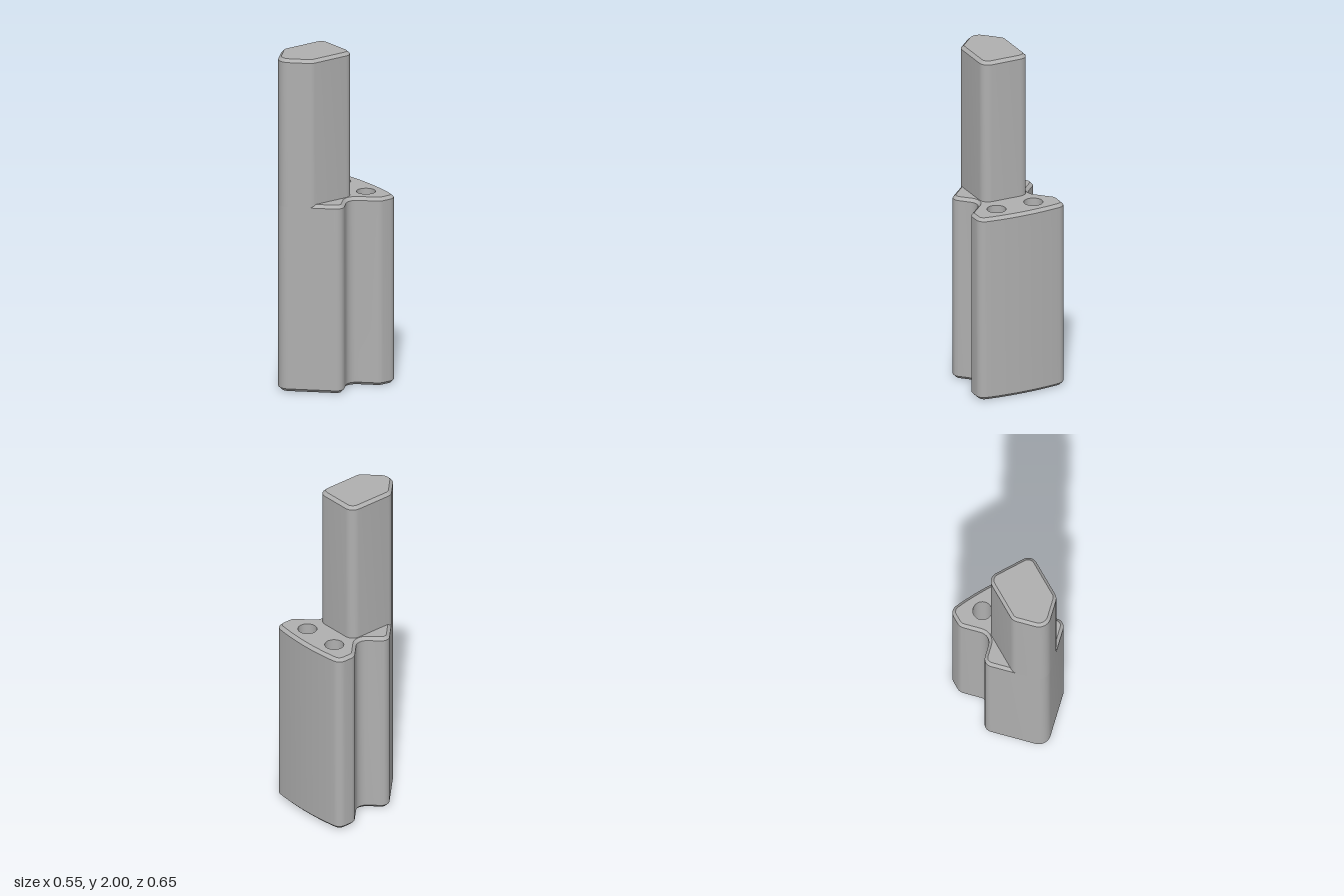
import * as THREE from 'three';
import { toCreasedNormals } from 'three/addons/utils/BufferGeometryUtils.js';

const CHAMFER = 0.018, SHOULDER = 1.13, HEIGHT = 2;
const HOLE_R = 0.055, HOLES = [[-0.118, -0.203], [0.118, -0.203]];
const STEPS = 8;

// Corners [x, z, radius] become a polygon with true arcs at the corners
function roundOutline(corners) {
  const out = [], n = corners.length;
  corners.forEach(([x, z, r], i) => {
    const p = new THREE.Vector2(x, z);
    if (!r) return out.push(p);
    const toward = (c) => new THREE.Vector2(c[0], c[1]).sub(p).normalize();
    const a = toward(corners[(i + n - 1) % n]), b = toward(corners[(i + 1) % n]);
    const half = Math.acos(THREE.MathUtils.clamp(a.dot(b), -1, 1)) / 2;
    const center = a.clone().add(b).normalize().multiplyScalar(r / Math.sin(half)).add(p);
    const start = a.multiplyScalar(r / Math.tan(half)).add(p).sub(center);
    const end = b.multiplyScalar(r / Math.tan(half)).add(p).sub(center);
    const sweep = Math.atan2(start.cross(end), start.dot(end));
    for (let k = 0; k <= STEPS; k++) {
      out.push(start.clone().rotateAround(new THREE.Vector2(), sweep * k / STEPS).add(center));
    }
  });
  return out;
}

// Move the outline inward by d, keeping edges parallel
function inset(pts, d) {
  const n = pts.length;
  const normal = (p, q) => new THREE.Vector2(q.y - p.y, p.x - q.x).normalize();
  return pts.map((p, i) => {
    const a = normal(pts[(i + n - 1) % n], p), b = normal(p, pts[(i + 1) % n]);
    const m = a.clone().add(b);
    return p.clone().addScaledVector(m, -d / (1 + a.dot(b)));
  });
}

// Side surface through stacked rings [outline, y]
function wallGeometry(rings) {
  const pos = [];
  for (let k = 0; k + 1 < rings.length; k++) {
    const [lo, y0] = rings[k], [hi, y1] = rings[k + 1];
    lo.forEach((p, i) => {
      const j = (i + 1) % lo.length;
      const a = [p.x, y0, p.y], b = [hi[i].x, y1, hi[i].y];
      const c = [hi[j].x, y1, hi[j].y], d = [lo[j].x, y0, lo[j].y];
      pos.push(...a, ...b, ...c, ...a, ...c, ...d);
    });
  }
  const g = new THREE.BufferGeometry();
  g.setAttribute('position', new THREE.Float32BufferAttribute(pos, 3));
  return toCreasedNormals(g, 0.45);
}

// Flat cap, optionally pierced by the holes
function capGeometry(pts, y, up, holes = []) {
  const s = up ? -1 : 1;
  const shape = new THREE.Shape(pts.map((p) => new THREE.Vector2(p.x, s * p.y)));
  for (const [x, z] of holes) {
    shape.holes.push(new THREE.Path().absarc(x, s * z, HOLE_R, 0, Math.PI * 2));
  }
  return new THREE.ShapeGeometry(shape, 24).rotateX(s * Math.PI / 2).translate(0, y, 0);
}

export function createModel() {
  const model = new THREE.Group();
  const steel = new THREE.MeshStandardMaterial({ color: 0xb0b0b0, side: THREE.DoubleSide });
  steel.name = 'grey steel';
  const add = (name, geometry) => {
    const mesh = new THREE.Mesh(geometry, steel);
    mesh.name = name;
    model.add(mesh);
    return mesh;
  };
  const mirror = (half) => half.map(([x, z, r]) => [-x, z, r]).reverse();

  // Body outline: bowed back, waist notches, pointed front
  const back = [];
  for (let i = -8; i <= 8; i++) {
    const x = i * 0.026;
    back.push([x, -0.324 + x * x / 3.3, 0]);
  }
  const side = [
    [0.277, -0.301, 0.05], [0.277, -0.187, 0.055],
    [0.142, -0.052, 0.063], [0.272, 0.078, 0.048],
  ];
  const nose = [0, 0.35, 0.07];
  const body = roundOutline([...back, ...side, nose, ...mirror(side)]);
  const bodyIn = inset(body, CHAMFER);
  add('bodyWall', wallGeometry([
    [bodyIn, 0], [body, CHAMFER], [body, SHOULDER - CHAMFER], [bodyIn, SHOULDER],
  ]));
  add('bodyTop', capGeometry(bodyIn, SHOULDER, true, HOLES));
  add('bodyBottom', capGeometry(bodyIn, 0, false, HOLES));

  // Through holes
  for (const [x, z] of HOLES) {
    const bore = add('boltHole', new THREE.CylinderGeometry(HOLE_R, HOLE_R, SHOULDER, 48, 1, true));
    bore.position.set(x, SHOULDER / 2, z);
  }

  // Post rising flush with the pointed front
  const postSide = [[0.146, -0.094, 0.055], [0.146, 0.204, 0.055]];
  const post = roundOutline([...postSide, nose, ...mirror(postSide)]);
  const postIn = inset(post, CHAMFER);
  add('postWall', wallGeometry([
    [post, SHOULDER - CHAMFER], [post, HEIGHT - CHAMFER], [postIn, HEIGHT],
  ]));
  add('postTop', capGeometry(postIn, HEIGHT, true));

  return model;
}
